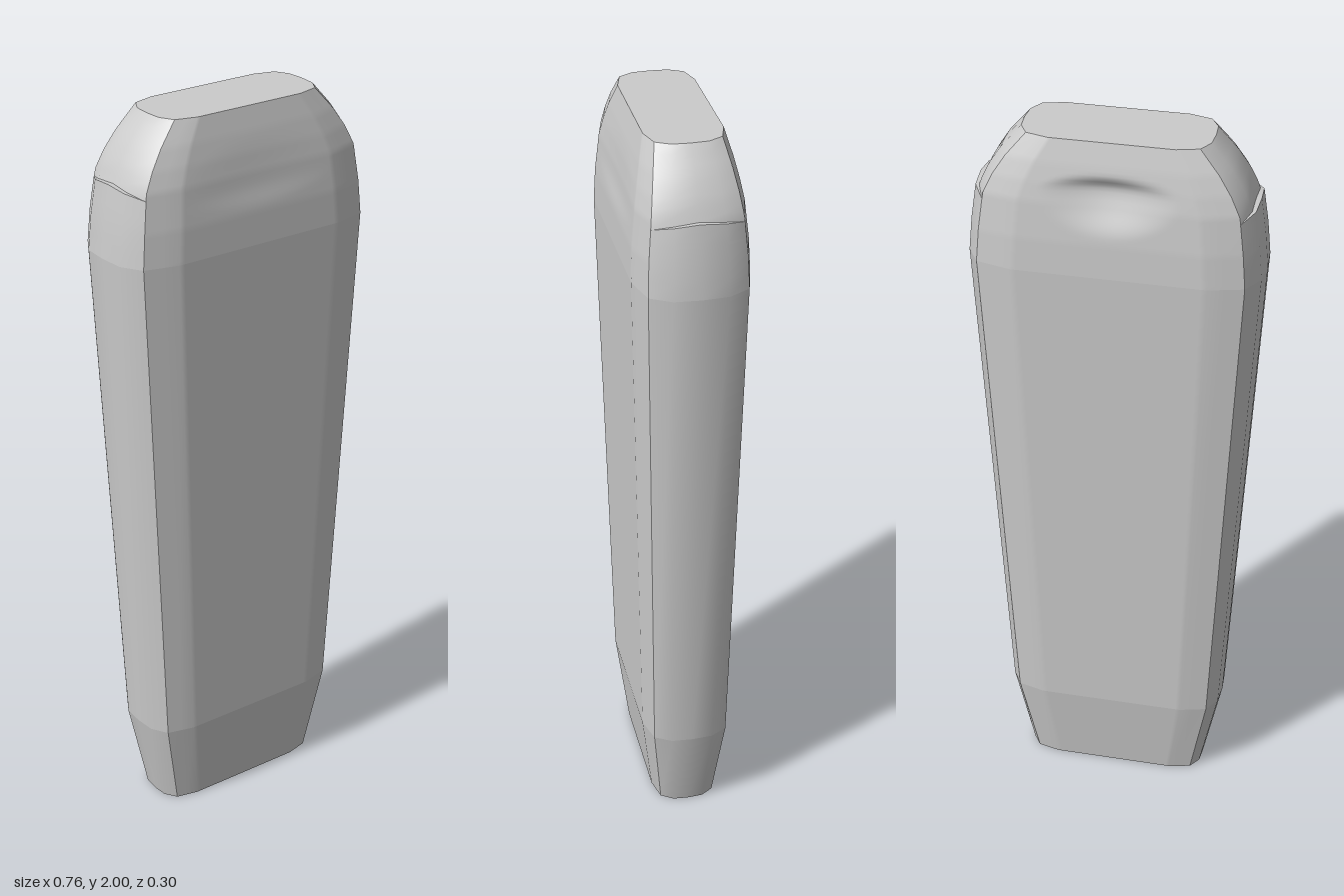
import * as THREE from 'three';

const material = new THREE.MeshStandardMaterial({ color: 0xcccccc });

// Silhouette: height, half width, half depth
const profile = [
  [0, 0.25, 0.088], [0.25, 0.302, 0.12], [1.65, 0.38, 0.15], [1.74, 0.372, 0.146],
  [1.84, 0.358, 0.136], [1.89, 0.332, 0.127], [1.94, 0.296, 0.116], [2, 0.24, 0.1],
];
// Cross-section as fractions of half width / half depth
const corner = [0.9, 0.84], shoulder = [0.66, 1], flank = [0.987, 0.47];

function sizeAt(y) {
  let i = 1;
  while (i < profile.length - 1 && y > profile[i][0]) i++;
  const a = profile[i - 1], b = profile[i];
  const t = (y - a[0]) / (b[0] - a[0]);
  return [THREE.MathUtils.lerp(a[1], b[1], t), THREE.MathUtils.lerp(a[2], b[2], t)];
}

const steps = (a, b, n) => Array.from({ length: n + 1 }, (_, i) => a + (b - a) * i / n);

// Smooth patch: columns run to the right and rows upward as seen from outside
function patch(name, cols, rows, point) {
  const position = [], index = [], n = cols.length;
  rows.forEach((v) => cols.forEach((u) => position.push(...point(u, v))));
  for (let r = 0; r < rows.length - 1; r++) {
    for (let c = 0; c < n - 1; c++) {
      const a = r * n + c, d = a + n;
      index.push(a, a + 1, d + 1, a, d + 1, d);
    }
  }
  const geometry = new THREE.BufferGeometry();
  geometry.setAttribute('position', new THREE.Float32BufferAttribute(position, 3));
  geometry.setIndex(index);
  geometry.computeVertexNormals();
  const mesh = new THREE.Mesh(geometry, material);
  mesh.name = name;
  return mesh;
}

// Soft oval hollow, steeper on its upper edge
function hollow(x, y, cy, width, up, down, depth) {
  const dy = y - cy;
  const r2 = (x / width) ** 2 + (dy / (dy > 0 ? up : down)) ** 2;
  return r2 < 1 ? depth * (1 - r2) ** 2 : 0;
}

// Broad face, with an optional hollow pressed into it
function broadPoint(dent) {
  return (u, y) => {
    const [hx, hz] = sizeAt(y);
    const t = Math.max(0, (Math.abs(u) - shoulder[0]) / (corner[0] - shoulder[0]));
    const z = hz * THREE.MathUtils.lerp(1, corner[1], t);
    return [u * hx, y, z - dent(u * hx, y)];
  };
}

// Narrow side; inset pulls the middle inward below the crown
const sideCols = [corner, flank, [1, 0], [flank[0], -flank[1]], [corner[0], -corner[1]]];
function sidePoint([fx, fz], y, inset = 0) {
  const [hx, hz] = sizeAt(y);
  return [fx * hx - inset * (1 - (fz / corner[1]) ** 2), y, fz * hz];
}
const ledgeY = (fz) => 1.84 - 0.018 * (fz / corner[1]) ** 2;

function cap(name, y, up) {
  const [hx, hz] = sizeAt(y);
  const quarter = [[1, 0], flank, corner, shoulder];
  const half = [...quarter, ...quarter.slice(1).reverse().map(([x, z]) => [-x, z])];
  const ring = [...half, ...half.map(([x, z]) => [-x, -z])];
  const shape = new THREE.Shape(ring.map(([x, z]) => new THREE.Vector2(x * hx, z * hz)));
  const mesh = new THREE.Mesh(new THREE.ShapeGeometry(shape), material);
  mesh.rotation.x = up ? -Math.PI / 2 : Math.PI / 2;
  mesh.position.y = y;
  mesh.name = name;
  return mesh;
}

export function createModel() {
  const model = new THREE.Group();
  model.name = 'taperedHandle';

  // Broad front and back, each in three bands
  const broadCols = [-0.9, -0.78, ...steps(-0.66, 0.66, 32), 0.78, 0.9];
  const dents = {
    front: (x, y) => hollow(x, y, 1.81, 0.24, 0.12, 0.06, 0.004),
    back: (x, y) => hollow(x, y, 1.875, 0.18, 0.045, 0.12, 0.026),
  };
  for (const face of ['front', 'back']) {
    const group = new THREE.Group();
    group.name = face + 'Face';
    const point = broadPoint(dents[face]);
    group.add(
      patch('foot', broadCols, [0, 0.25], point),
      patch('body', broadCols, [0.25, 1.65], point),
      patch('crown', broadCols, steps(1.65, 2, 35), point),
    );
    if (face === 'back') group.rotation.y = Math.PI;
    model.add(group);
  }

  // Rounded sides with a small ledge under the crown
  for (const side of ['left', 'right']) {
    const group = new THREE.Group();
    group.name = side + 'Side';
    group.add(
      patch('foot', sideCols, [0, 0.25], sidePoint),
      patch('body', sideCols, [0.25, 1.65], sidePoint),
      patch('shoulder', sideCols, steps(0, 1, 4), (c, t) =>
        sidePoint(c, THREE.MathUtils.lerp(1.65, ledgeY(c[1]), t))),
      patch('ledge', sideCols, [0, 0.014], (c, inset) => sidePoint(c, ledgeY(c[1]), inset)),
      patch('crown', sideCols, steps(0, 1, 8), (c, t) =>
        sidePoint(c, THREE.MathUtils.lerp(ledgeY(c[1]), 2, t), 0.014 * (1 - t))),
    );
    if (side === 'right') group.rotation.y = Math.PI;
    model.add(group);
  }

  model.add(cap('topCap', 2, true), cap('bottomCap', 0, false));
  return model;
}
